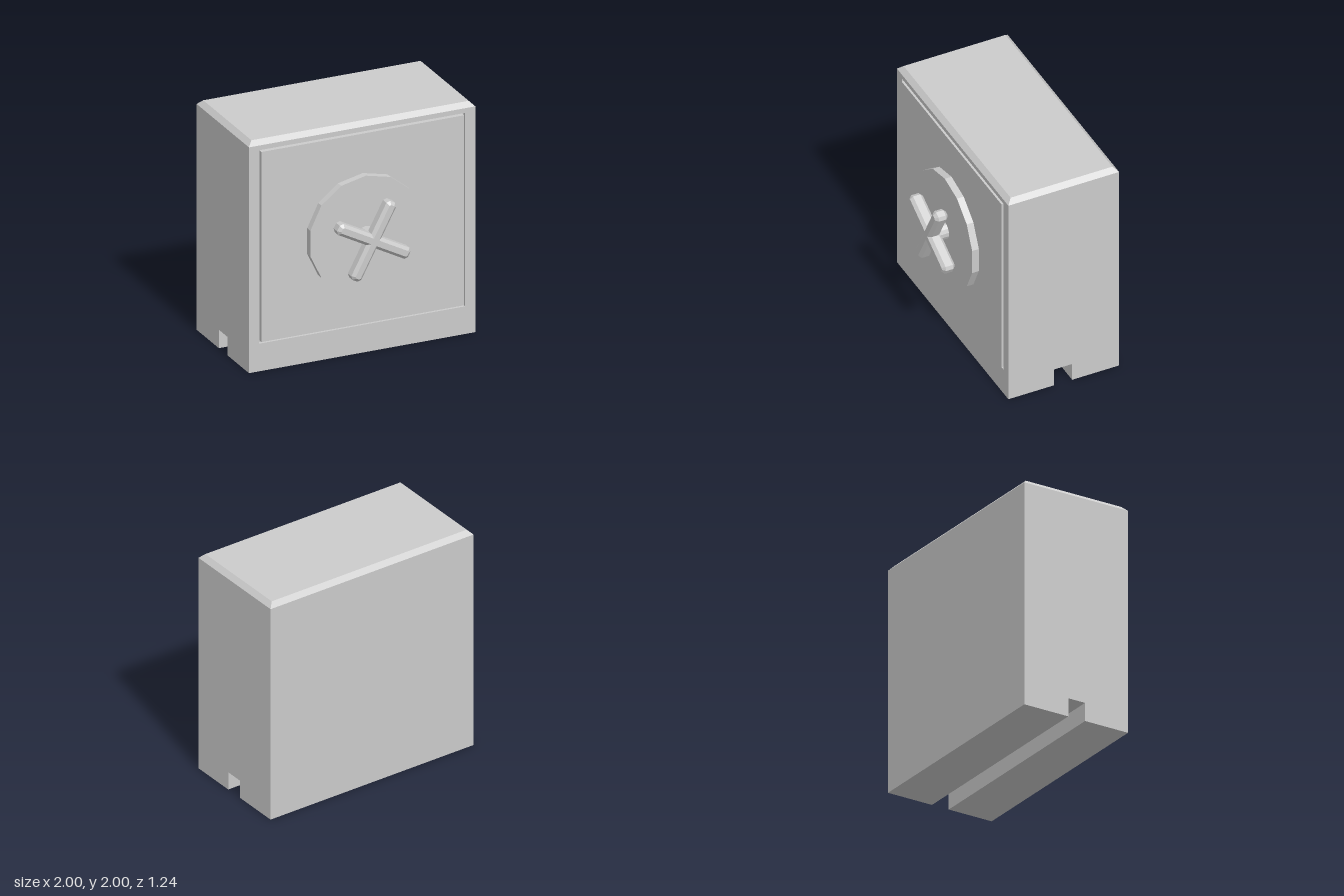
import * as THREE from 'three';

const material = new THREE.MeshStandardMaterial({ color: 0xcccccc, flatShading: true });

function add(group, name, geometry, x = 0, y = 0, z = 0) {
  const mesh = new THREE.Mesh(geometry, material);
  mesh.name = name;
  mesh.position.set(x, y, z);
  group.add(mesh);
  return mesh;
}

const polygon = (pts) => new THREE.Shape(pts.map(([x, y]) => new THREE.Vector2(x, y)));
const rect = (x, y0, y1) => [[-x, y0], [x, y0], [x, y1], [-x, y1]];

export function createModel() {
  const model = new THREE.Group();
  const front = 0.37, back = -0.62, groove = 0.03, chamfer = 0.04, top = 2 - chamfer;

  // Body: side profile with the slot underneath, extruded across the width
  const inner = front - groove;
  const profile = polygon([
    [-inner, 0], [0.04, 0], [0.04, 0.16], [0.2, 0.16], [0.2, 0],
    [-back, 0], [-back, top], [-inner, top],
  ]);
  const bodyGeometry = new THREE.ExtrudeGeometry(profile, { depth: 2, bevelEnabled: false });
  bodyGeometry.rotateY(Math.PI / 2);
  add(model, 'body', bodyGeometry, -1);

  // Front surround, with an opening that leaves a thin gap around the door
  const surround = polygon(rect(1, 0, top));
  surround.holes.push(polygon(rect(0.91, 0.24, 1.92)));
  add(model, 'frontSurround',
    new THREE.ExtrudeGeometry(surround, { depth: groove, bevelEnabled: false }), 0, 0, inner);

  // Chamfered top: a slab whose upper corners are drawn in
  const depth = front - back;
  const cap = new THREE.BoxGeometry(2, chamfer, depth);
  const p = cap.attributes.position;
  for (let i = 0; i < p.count; i++) {
    if (p.getY(i) > 0) {
      p.setX(i, p.getX(i) - Math.sign(p.getX(i)) * chamfer);
      p.setZ(i, p.getZ(i) - Math.sign(p.getZ(i)) * chamfer);
    }
  }
  cap.computeVertexNormals();
  add(model, 'chamferedTop', cap, 0, top + chamfer / 2, (front + back) / 2);

  // Door panel, slightly proud of the surround
  add(model, 'door', new THREE.BoxGeometry(1.79, 1.65, 0.04), 0, 1.08, 0.36);

  // Fourteen-sided dial and the handle's stem
  const disc = (radius, length) =>
    new THREE.CylinderGeometry(radius, radius, length, 14).rotateX(Math.PI / 2);
  const dial = disc(0.503, 0.06);
  dial.rotateZ(Math.PI / 2 + Math.PI / 2 - Math.PI);
  add(model, 'dial', dial, 0, 1.06, 0.41);
  add(model, 'handleStem', disc(0.077, 0.11), 0, 1.05, 0.485);

  // Cross handle: one arm outline repeated four times, bevelled front and back
  const length = 0.355, half = 0.05, bevel = 0.025;
  const arm = [
    [half, -half], [length - bevel, -half], [length, -half + bevel],
    [length, half - bevel], [length - bevel, half],
  ];
  const outline = [];
  for (let k = 0; k < 4; k++) {
    const c = Math.round(Math.cos(k * Math.PI / 2)), s = Math.round(Math.sin(k * Math.PI / 2));
    for (const [x, y] of arm) outline.push([x * c - y * s, x * s + y * c]);
  }
  const cross = new THREE.ExtrudeGeometry(polygon(outline), {
    depth: 0.065, bevelEnabled: true, bevelThickness: bevel,
    bevelSize: bevel, bevelOffset: -bevel, bevelSegments: 1,
  });
  const handle = add(model, 'crossHandle', cross, 0, 1.05, 0.525);
  handle.rotation.z = THREE.MathUtils.degToRad(62);

  return model;
}
